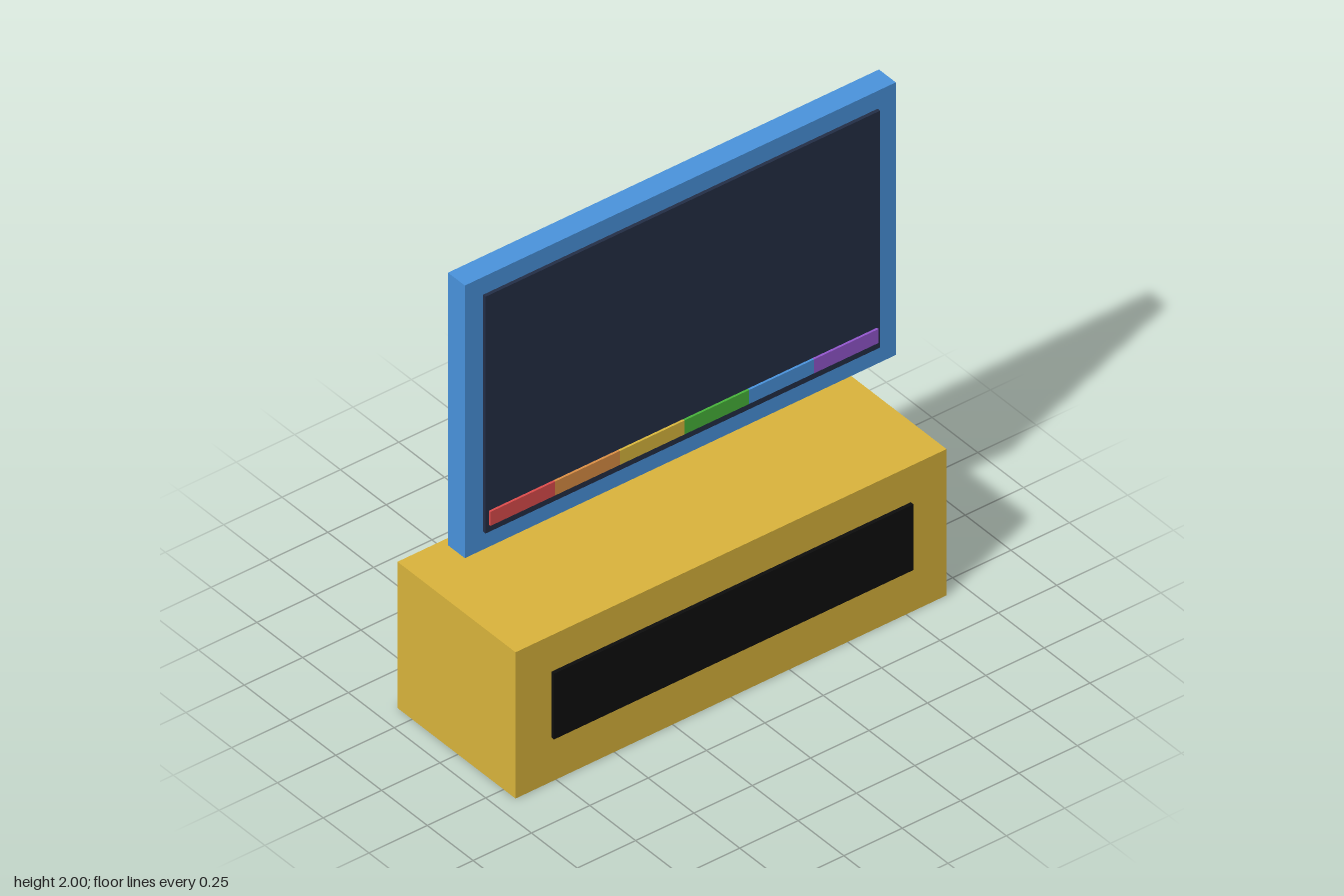
import * as THREE from 'three';

// Box given by its centre x, its bottom and top, and its back and front
function addBox(parent, name, color, x, width, [y0, y1], [z0, z1]) {
  const mesh = new THREE.Mesh(
    new THREE.BoxGeometry(width, y1 - y0, z1 - z0),
    new THREE.MeshStandardMaterial({ color })
  );
  mesh.name = name;
  mesh.position.set(x, (y0 + y1) / 2, (z0 + z1) / 2);
  parent.add(mesh);
}

export function createModel() {
  const model = new THREE.Group();
  model.name = 'televisionAndCabinet';

  // Low cabinet with a dark front panel
  const cabinet = new THREE.Group();
  cabinet.name = 'cabinet';
  addBox(cabinet, 'cabinetBody', 0xdbb53c, 0, 1.846, [0, 0.617], [-0.33, 0.315]);
  addBox(cabinet, 'cabinetFrontPanel', 0x0d0d0d, 0, 1.54, [0.187, 0.464], [0.3, 0.33]);

  // Television floating above the cabinet
  const television = new THREE.Group();
  television.name = 'television';
  addBox(television, 'televisionFrame', 0x4a94de, 0, 1.846, [0.85, 2], [-0.054, 0.038]);
  addBox(television, 'screen', 0x242e46, 0, 1.69, [0.926, 1.925], [0.03, 0.052]);

  // Row of colour bars along the bottom of the screen
  const colorBars = new THREE.Group();
  colorBars.name = 'colorBars';
  const colors = [0xdf4d4d, 0xdd9045, 0xdbb93e, 0x48b53b, 0x4a94de, 0x9457cf];
  const barWidth = 0.277;
  colors.forEach((color, i) => {
    addBox(colorBars, `colorBar${i + 1}`, color, (i - 2.5) * barWidth, barWidth, [0.957, 1.016], [0.045, 0.061]);
  });
  television.add(colorBars);

  model.add(cabinet, television);
  return model;
}
